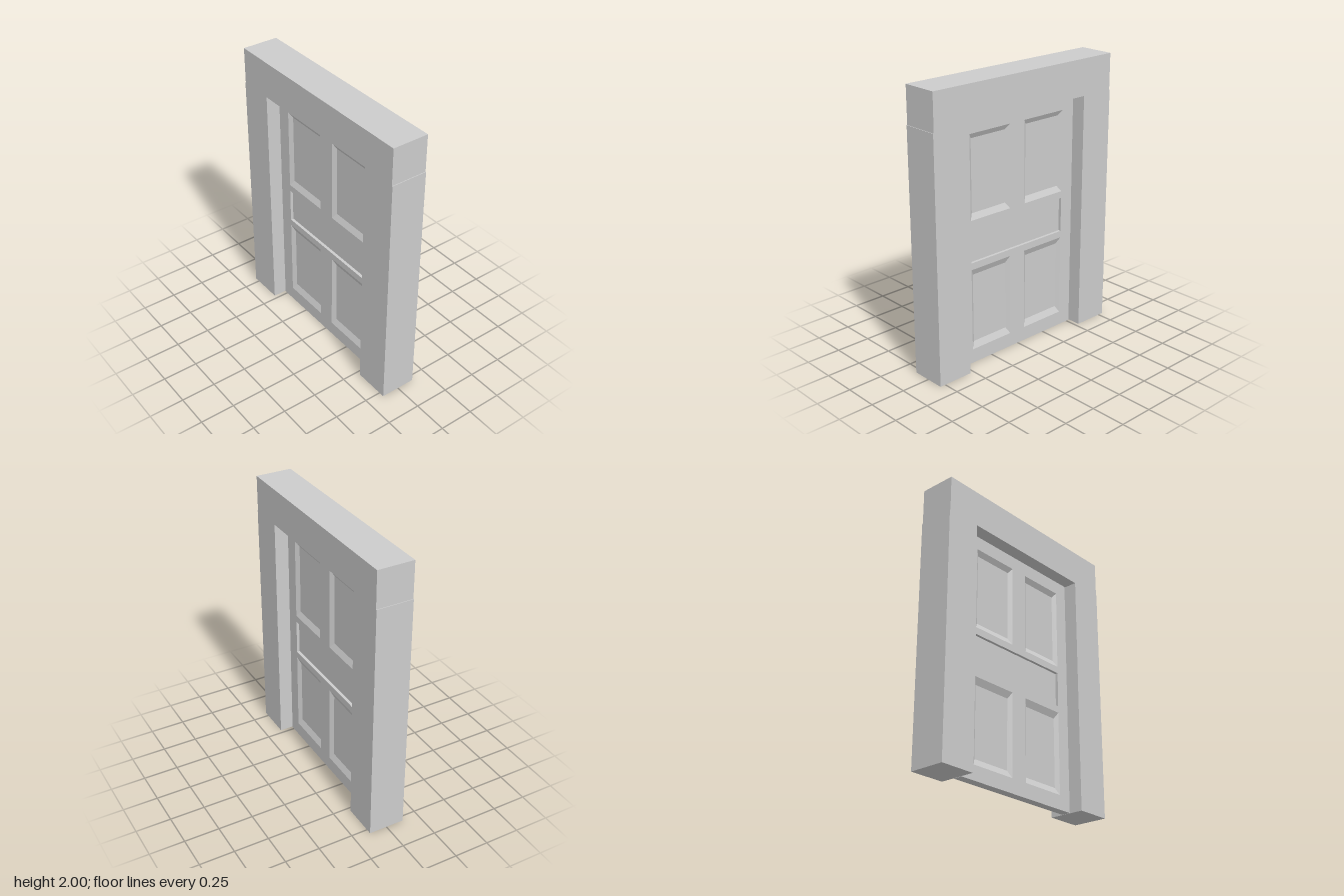
import * as THREE from 'three';

const material = new THREE.MeshStandardMaterial({ color: 0xcccccc, flatShading: true });
const FACE = 0.033;  // half thickness of the door leaf
const CORE = 0.012;  // half thickness at the bottom of a recess

function add(parent, name, geometry, x = 0, y = 0, z = 0) {
  const mesh = new THREE.Mesh(geometry, material);
  mesh.name = name;
  mesh.position.set(x, y, z);
  parent.add(mesh);
}

function rectangle(path, [x0, x1, y0, y1]) {
  path.moveTo(x0, y0);
  path.lineTo(x1, y0);
  path.lineTo(x1, y1);
  path.lineTo(x0, y1);
  path.closePath();
  return path;
}

// Sunken panel with sloping borders on both faces of the door
function beveledPanel([x0, x1, y0, y1], top, bottom) {
  const side = 0.028;
  const ring = (a, b, c, d, z) => [[a, c, z], [b, c, z], [b, d, z], [a, d, z]];
  const positions = [];
  const quad = (a, b, c, d) => positions.push(...[a, b, c, a, c, d].flat());
  for (const s of [1, -1]) {
    const outer = ring(x0, x1, y0, y1, s * FACE);
    const inner = ring(x0 + side, x1 - side, y0 + bottom, y1 - top, s * CORE);
    const face = (...corners) => quad(...(s > 0 ? corners : corners.reverse()));
    face(...inner);
    for (let i = 0; i < 4; i++) {
      const j = (i + 1) % 4;
      face(outer[i], outer[j], inner[j], inner[i]);
    }
  }
  const geometry = new THREE.BufferGeometry();
  geometry.setAttribute('position', new THREE.Float32BufferAttribute(positions, 3));
  geometry.computeVertexNormals();
  return geometry;
}

export function createModel() {
  const model = new THREE.Group();
  model.name = 'doorway';

  // Surround: two jambs and a slightly narrower lintel
  const frame = new THREE.Group();
  frame.name = 'frame';
  for (const s of [1, -1]) {
    add(frame, s > 0 ? 'leftJamb' : 'rightJamb', new THREE.BoxGeometry(0.26, 1.74, 0.26), s * 0.66, 0.87);
  }
  add(frame, 'lintel', new THREE.BoxGeometry(1.57, 0.26, 0.26), 0, 1.87);
  model.add(frame);

  // Door leaf with openings for the panels
  const door = new THREE.Group();
  door.name = 'door';
  const columns = [[-0.422, -0.061], [0.071, 0.422]];
  const rows = [
    { y: [1.05, 1.642], top: 0.037, bottom: 0.042 },
    { y: [0.103, 0.698], top: 0.047, bottom: 0.047 },
  ];
  const middle = [-0.422, 0.422, 0.747, 1.0];

  const leaf = rectangle(new THREE.Shape(), [-0.524, 0.524, 0, 1.74]);
  leaf.holes.push(rectangle(new THREE.Path(), middle));
  for (const row of rows) {
    for (const column of columns) {
      const bounds = [...column, ...row.y];
      leaf.holes.push(rectangle(new THREE.Path(), bounds));
      add(door, 'beveledPanel', beveledPanel(bounds, row.top, row.bottom));
    }
  }
  add(door, 'doorLeaf', new THREE.ExtrudeGeometry(leaf, { depth: 2 * FACE, bevelEnabled: false }), 0, 0, -FACE);

  // Flat square-edged panel between the upper and lower rows
  const [x0, x1, y0, y1] = middle;
  add(door, 'middlePanel', new THREE.BoxGeometry(x1 - x0, y1 - y0, 2 * CORE), 0, (y0 + y1) / 2);
  model.add(door);

  return model;
}
